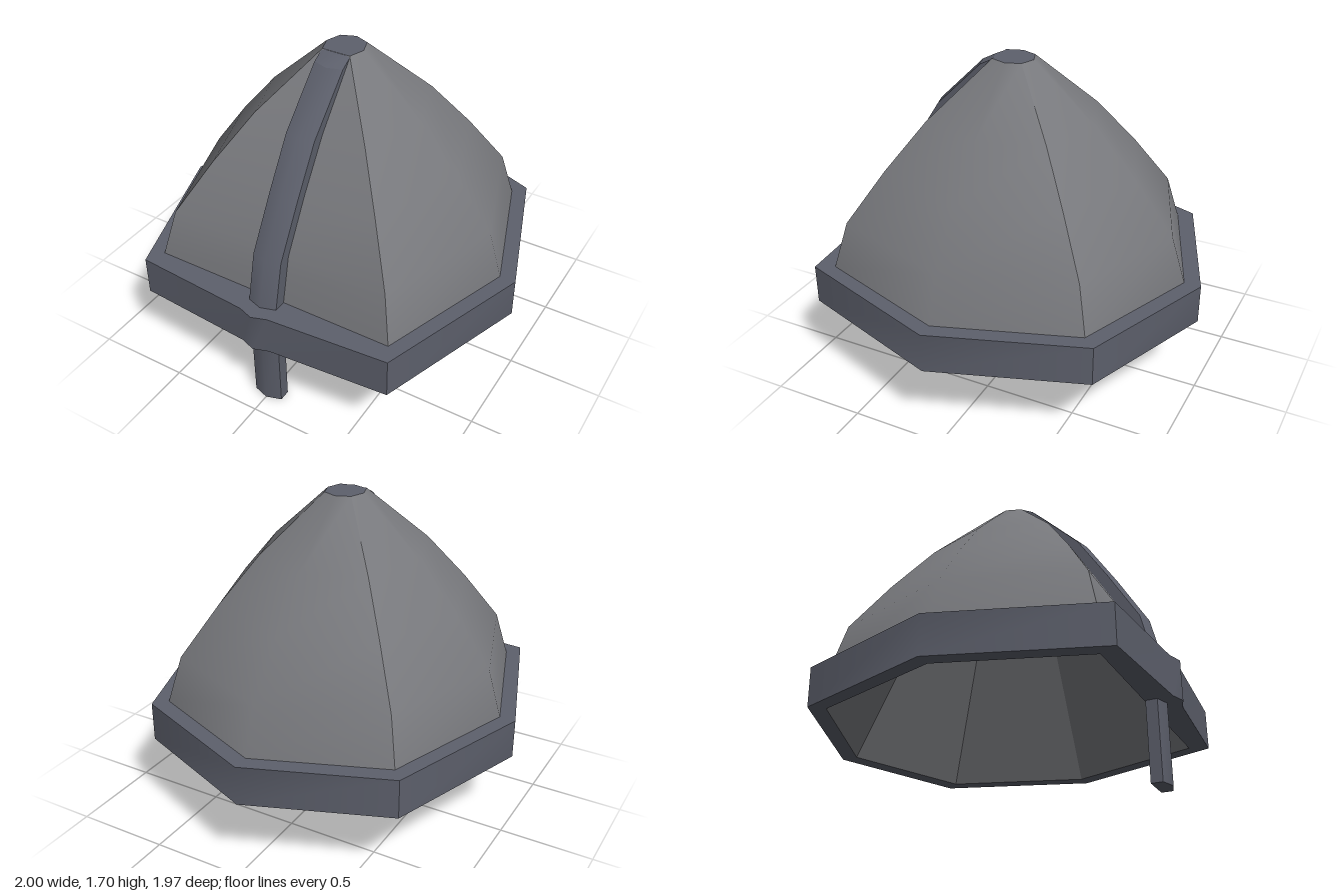
import * as THREE from 'three';

const shellMat = new THREE.MeshStandardMaterial({ color: 0x78797d, side: THREE.DoubleSide });
const trimMat = new THREE.MeshStandardMaterial({ color: 0x5d606c, side: THREE.DoubleSide });

// Surface through rows of points; rows run upward, points run left to right seen from outside
function loft(rows, flat = false) {
  const n = rows[0].length, index = [];
  for (let i = 0; i < rows.length - 1; i++) {
    for (let j = 0; j < n - 1; j++) {
      const a = i * n + j, d = a + n;
      index.push(a, a + 1, d + 1, a, d + 1, d);
    }
  }
  let geo = new THREE.BufferGeometry();
  geo.setAttribute('position', new THREE.Float32BufferAttribute(rows.flat(2), 3));
  geo.setIndex(index);
  if (flat) geo = geo.toNonIndexed();
  geo.computeVertexNormals();
  return geo;
}

function add(group, name, geo, mat) {
  const mesh = new THREE.Mesh(geo, mat);
  mesh.name = name;
  group.add(mesh);
}

// Plan of the dome base, starting at the front right corner, and its centre in z
const CZ = 0.083;
const base = [[-0.67, 0.81], [0.67, 0.81], [0.915, CZ], [0.67, -0.63], [0, -0.895], [-0.67, -0.63], [-0.915, CZ]];
const ring = (plan, y, s = 1) => plan.map(([x, z]) => [x * s, y, CZ + (z - CZ) * s]);
const closed = (pts) => [...pts, pts[0]];

export function createModel() {
  const helmet = new THREE.Group();
  helmet.name = 'helmet';

  // Dome: four curved panels meeting at creases
  const profile = [[0.63, 1], [0.88, 0.918], [1.15, 0.7], [1.4, 0.47], [1.7, 0.115]];
  const panels = { frontPanel: [0, 1], leftPanel: [1, 2, 3], backPanel: [3, 4, 5], rightPanel: [5, 6, 0] };
  for (const [name, ids] of Object.entries(panels)) {
    const plan = ids.map((i) => base[i]);
    add(helmet, name, loft(profile.map(([y, s]) => ring(plan, y, s))), shellMat);
  }

  // Flat cap on the crown
  add(helmet, 'crownCap', loft([closed(ring(base, 1.7, 0.115)), closed(ring(base, 1.7, 0.001))], true), trimMat);

  // Inner lining, facing inward: straight walls to a shoulder that is thicker at the front
  const BOTTOM = 0.417;
  const shoulder = [[-0.33, 0.36], [0.33, 0.36], ...base.slice(2).map(([x, z]) => [x * 0.46, CZ + (z - CZ) * 0.46])];
  const lining = [ring(base, 1.66, 0.001), ring(base, 1.66, 0.1), ring(shoulder, 1.4), ring(base, BOTTOM)];
  add(helmet, 'lining', loft(lining.map(closed), true), shellMat);

  // Brow band: four smooth outer walls with flat edges above and below, pointed slightly at the front
  const back = [[1, CZ], [0.73, -0.7], [0, -0.985], [-0.73, -0.7], [-1, CZ]];
  const outer = [[-0.72, 0.905], [-0.08, 0.953], [0, 0.98], [0.08, 0.953], [0.72, 0.905], ...back];
  const inner = [base[0], [-0.08, 0.81], [0, 0.81], [0.08, 0.81], ...base.slice(1)];
  const loop = closed(outer);
  for (const [from, to] of [[0, 4], [4, 6], [6, 8], [8, 10]]) {
    const plan = loop.slice(from, to + 1);
    add(helmet, 'browBandWall', loft([ring(plan, BOTTOM), ring(plan, 0.63)]), trimMat);
  }
  add(helmet, 'browBandTop', loft([ring(loop, 0.63), ring(closed(inner), 0.63)]), trimMat);
  add(helmet, 'browBandBottom', loft([ring(closed(inner), BOTTOM), ring(loop, BOTTOM)]), trimMat);

  // Ridge strip and nose guard: one ridged section swept along the front
  function strip(name, depth, path) {
    const group = new THREE.Group();
    group.name = name;
    const section = closed([[-0.08, -depth], [-0.08, -0.025], [0, 0], [0.08, -0.025], [0.08, -depth]]);
    const rows = path.map(([y, z]) => section.map(([x, dz]) => [x, y, z + dz]));
    for (const [from, to] of [[0, 1], [1, 3], [3, 4], [4, 5]]) {
      add(group, name + 'Side', loft(rows.map((r) => r.slice(from, to + 1))), trimMat);
    }
    const first = rows[0], last = rows[rows.length - 1];
    const middle = (r) => r.map(() => [0, r[0][1], r[0][2] + depth / 2]);
    add(group, name + 'End', loft([middle(first), first], true), trimMat);
    add(group, name + 'End', loft([last, middle(last)], true), trimMat);
    helmet.add(group);
  }
  strip('noseGuard', 0.085, [[0, 0.9], [0.5, 0.9]]);
  strip('ridgeStrip', 0.11, [[0.6, 0.905], [0.63, 0.9], [0.88, 0.84], [1.15, 0.68], [1.4, 0.52], [1.66, 0.26]]);
  strip('ridgeStripTip', 0.11, [[1.66, 0.26], [1.699, 0.187]]);

  return helmet;
}
